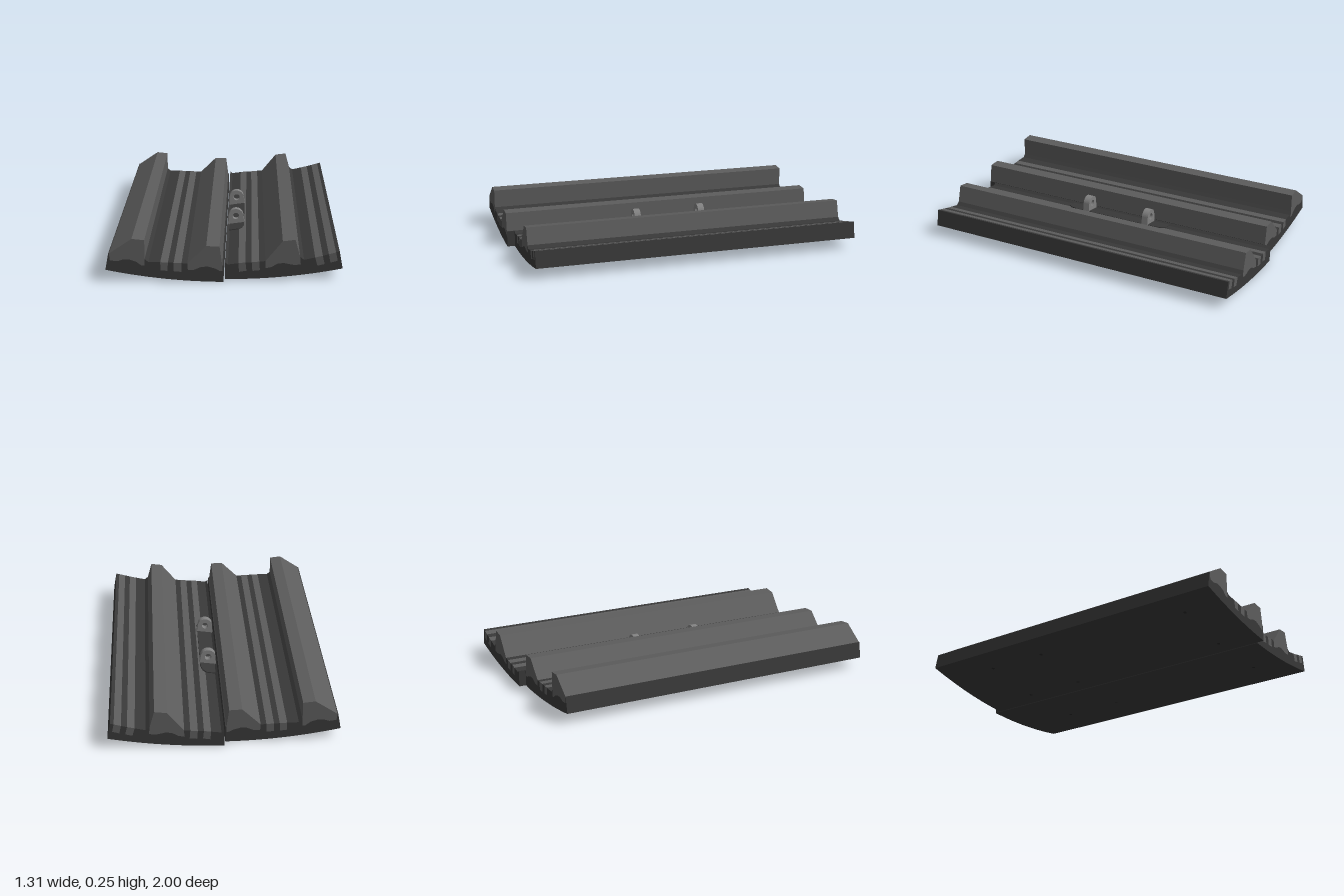
import * as THREE from 'three';

export function createModel() {
  const model = new THREE.Group();
  const mat = (name, color) => {
    const m = new THREE.MeshStandardMaterial({ color });
    m.name = name;
    return m;
  };
  const rubber = mat('dark rubber', 0x383838);
  const steel = mat('worn grey', 0x5c5c5c);
  const lugGrey = mat('light grey', 0x808080);
  const boltBlack = mat('bolt black', 0x262626);

  const shapeOf = pts => new THREE.Shape(pts.map(p => new THREE.Vector2(p[0], p[1])));
  const extrude = (parent, name, shape, z0, z1, material) => {
    const geo = new THREE.ExtrudeGeometry(shape, { depth: z1 - z0, bevelEnabled: false, curveSegments: 16 });
    geo.translate(0, 0, z0);
    const mesh = new THREE.Mesh(geo, material);
    mesh.name = name;
    parent.add(mesh);
    return mesh;
  };
  const underside = x => 0.155 * x * x;

  // Each half is a list of items along its upper surface, from -x to +x.
  // seat: joint with the base, crown: exposed outline above it.
  const strip = (a, b, c, d) => ({ name: 'insetStrip', seat: [a, d, c, b], crown: [] });
  const ridge = (seat, crown) => ({ name: 'ridge', seat, crown });

  const halves = [
    {
      name: 'leftHandPanel', x0: -0.656, x1: -0.004, z0: -0.96, z1: 1,
      top: [
        [-0.638, 0.163],
        ridge([[-0.634, 0.162], [-0.63, 0.122], [-0.59, 0.117], [-0.555, 0.128], [-0.52, 0.127],
          [-0.485, 0.115], [-0.455, 0.092], [-0.438, 0.092], [-0.438, 0.13]],
        [[-0.438, 0.24], [-0.508, 0.247]]),
        [-0.418, 0.114],
        strip([-0.352, 0.113], [-0.31, 0.111], [-0.312, 0.062], [-0.352, 0.066]),
        strip([-0.278, 0.11], [-0.235, 0.108], [-0.235, 0.057], [-0.278, 0.06]),
        ridge([[-0.203, 0.106], [-0.2, 0.068], [-0.165, 0.07], [-0.125, 0.087], [-0.09, 0.089],
          [-0.05, 0.078], [-0.025, 0.064], [-0.01, 0.064], [-0.01, 0.095]],
        [[-0.025, 0.205], [-0.098, 0.208]]),
        [-0.004, 0.095],
      ],
    },
    {
      name: 'rightHandPanel', x0: 0.004, x1: 0.656, z0: -1, z1: 0.955,
      top: [
        [0.004, 0.098], [0.02, 0.086],
        strip([0.078, 0.094], [0.118, 0.099], [0.123, 0.05], [0.082, 0.043]),
        strip([0.152, 0.1], [0.194, 0.104], [0.198, 0.054], [0.156, 0.049]),
        ridge([[0.228, 0.107], [0.228, 0.065], [0.26, 0.072], [0.295, 0.092], [0.33, 0.097],
          [0.37, 0.088], [0.395, 0.085], [0.424, 0.09], [0.42, 0.133]],
        [[0.393, 0.232], [0.323, 0.223]]),
        [0.442, 0.116],
        strip([0.503, 0.13], [0.545, 0.14], [0.556, 0.092], [0.516, 0.082]),
        strip([0.578, 0.149], [0.618, 0.16], [0.628, 0.112], [0.588, 0.1]),
        [0.638, 0.165],
      ],
    },
  ];

  for (const h of halves) {
    const panel = new THREE.Group();
    panel.name = h.name;
    const outline = [];
    for (const item of h.top) {
      if (Array.isArray(item)) { outline.push(item); continue; }
      outline.push(...item.seat);
      extrude(panel, item.name, shapeOf([...item.seat, ...item.crown]), h.z0, h.z1, steel);
    }
    // Curved underside, back from +x to -x
    for (let i = 0; i <= 14; i++) {
      const x = h.x1 + (h.x0 - h.x1) * i / 14;
      outline.push([x, underside(x)]);
    }
    extrude(panel, 'basePlate', shapeOf(outline), h.z0, h.z1, rubber);
    model.add(panel);
  }

  // Thin pad carrying the lifting lugs, sloping with the panel
  const pad = shapeOf([[0.018, -0.34], [0.075, -0.34], [0.095, -0.315], [0.108, -0.27],
    [0.108, 0.27], [0.095, 0.315], [0.075, 0.34], [0.018, 0.34]]);
  const padGeo = new THREE.ExtrudeGeometry(pad, { depth: 0.006, bevelEnabled: false });
  padGeo.rotateX(-Math.PI / 2).rotateZ(0.14).translate(0, 0.084, 0);
  const padMesh = new THREE.Mesh(padGeo, rubber);
  padMesh.name = 'lugPad';
  model.add(padMesh);

  // Lifting lugs with round eyes
  const lug = new THREE.Shape();
  lug.moveTo(0.008, 0.084);
  lug.lineTo(0.11, 0.098);
  lug.lineTo(0.101, 0.148);
  lug.absarc(0.057, 0.142, 0.045, 0.13, Math.PI - 0.13, false);
  lug.closePath();
  const eye = new THREE.Path();
  eye.absarc(0.057, 0.142, 0.02, 0, Math.PI * 2, true);
  lug.holes.push(eye);
  for (const z of [-0.21, 0.203]) extrude(model, 'liftingLug', lug, z - 0.02, z + 0.02, lugGrey);

  // Small bolt heads on the underside beneath the ridges
  for (const x of [-0.5, -0.11, 0.33]) {
    for (const z of [-0.62, -0.25, 0.76]) {
      const bolt = new THREE.Mesh(new THREE.CylinderGeometry(0.01, 0.01, 0.004, 10), boltBlack);
      bolt.name = 'bolt';
      bolt.position.set(x, underside(x) + 0.0015, z);
      bolt.rotation.z = Math.atan(0.31 * x);
      model.add(bolt);
    }
  }
  return model;
}
